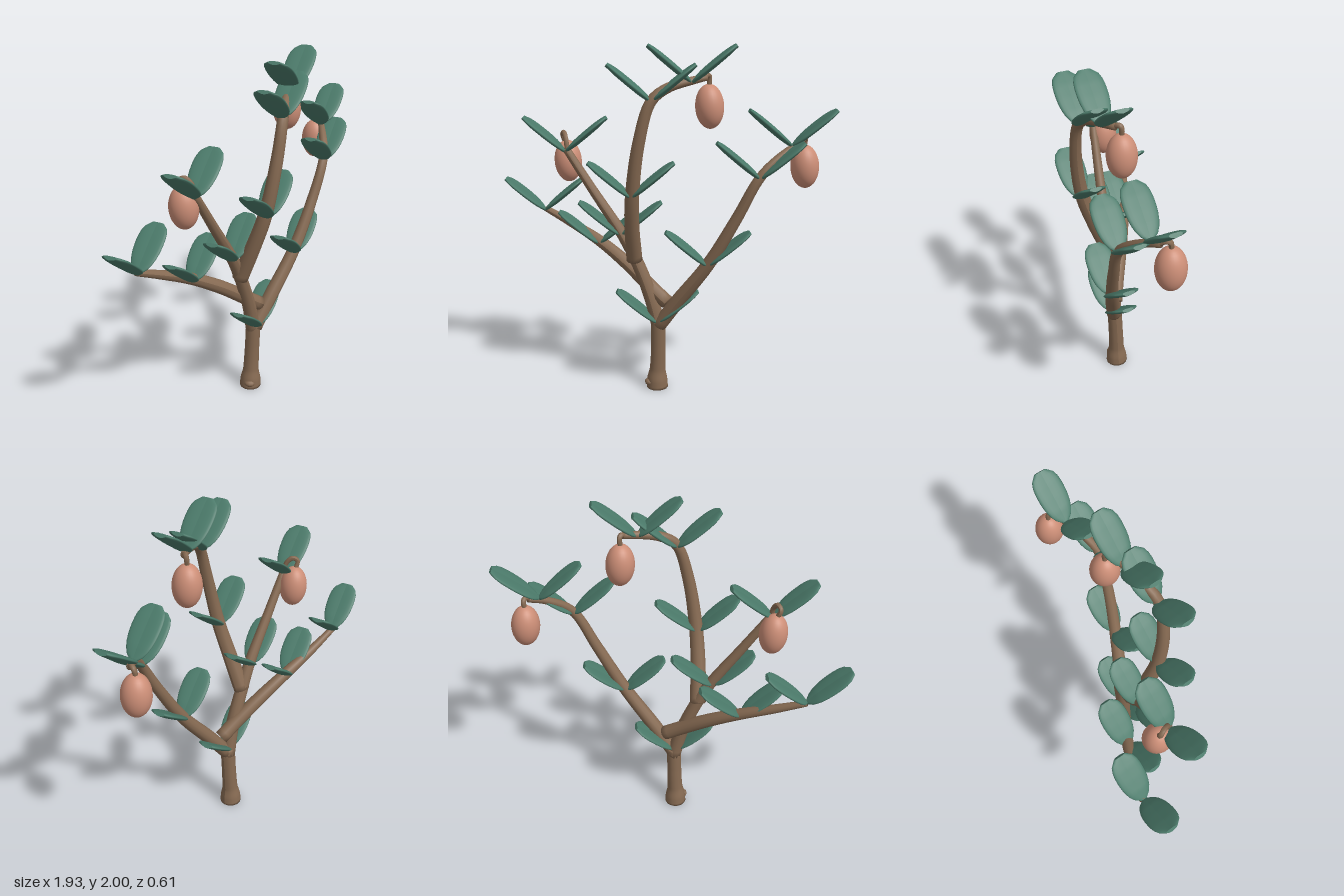
import * as THREE from 'three';

const bark = new THREE.MeshStandardMaterial({ color: 0x866a52 });
bark.name = 'bark';
const leafGreen = new THREE.MeshStandardMaterial({ color: 0x4b7a6a });
leafGreen.name = 'leafGreen';
const fruitPink = new THREE.MeshStandardMaterial({ color: 0xcc8e77 });
fruitPink.name = 'fruitPink';

const lerpList = (list, t) => {
  const f = Math.min(Math.max(t, 0), 1) * (list.length - 1);
  const i = Math.min(Math.floor(f), list.length - 2);
  return THREE.MathUtils.lerp(list[i], list[i + 1], f - i);
};

// Closed tube along a smooth path, with its radius blended through a list
function limb(name, points, radii, segments = 28, sides = 12) {
  const curve = new THREE.CatmullRomCurve3(points.map((p) => new THREE.Vector3(...p)));
  const geo = new THREE.TubeGeometry(curve, segments, 1, sides);
  const pos = geo.attributes.position;
  const v = new THREE.Vector3();
  for (let i = 0; i < pos.count; i++) {
    const ring = Math.floor(i / (sides + 1));
    const body = THREE.MathUtils.clamp(ring, 1, segments - 1);
    const t = (body - 1) / (segments - 2);
    const r = ring === body ? lerpList(radii, t) : 0; // end rings close the caps
    v.fromBufferAttribute(pos, i).sub(curve.getPointAt(ring / segments));
    v.multiplyScalar(r).add(curve.getPointAt(t));
    pos.setXYZ(i, v.x, v.y, v.z);
  }
  geo.computeVertexNormals();
  const mesh = new THREE.Mesh(geo, bark);
  mesh.name = name;
  return mesh;
}

// Thick, blunt leaf with a slight fold along its midrib, growing along +x
function leafGeometry() {
  const length = 0.3;
  const widths = [0.012, 0.045, 0.062, 0.072, 0.078, 0.081, 0.082, 0.081, 0.077, 0.066, 0.034];
  const depths = [0.009, 0.016, 0.017, 0.016, 0.011];
  const geo = new THREE.CylinderGeometry(1, 1, 1, 20, 20);
  const pos = geo.attributes.position;
  for (let i = 0; i < pos.count; i++) {
    const s = pos.getX(i), c = pos.getZ(i);
    const t = pos.getY(i) + 0.5;
    const half = lerpList(widths, t);
    const fold = 0.008 * Math.abs(s) * (half / 0.082);
    pos.setXYZ(i, t * length, fold + c * lerpList(depths, t), s * half);
  }
  geo.rotateZ(THREE.MathUtils.degToRad(39.5));
  geo.computeVertexNormals();
  return geo;
}

export function createModel() {
  const tree = new THREE.Group();
  tree.name = 'fruitTree';

  // Trunk with flared foot
  tree.add(limb('trunk',
    [[-0.006, 0, -0.012], [-0.006, 0.06, -0.01], [0, 0.2, -0.006], [0.003, 0.43, 0.004]],
    [0.064, 0.06, 0.047, 0.045, 0.044, 0.043, 0.043, 0.043, 0.042], 32, 14));
  const knob = new THREE.Mesh(new THREE.SphereGeometry(0.028, 10, 8), bark);
  knob.name = 'rootKnob';
  knob.scale.set(1.1, 0.8, 1.2);
  knob.position.set(-0.046, 0.036, 0.01);
  tree.add(knob);

  // Main branches
  tree.add(limb('rightBranch',
    [[0.005, 0.38, 0], [-0.04, 0.56, 0.005], [-0.12, 0.77, 0.005], [-0.21, 0.94, 0.01], [-0.37, 1.18, 0.012], [-0.52, 1.41, 0.012]],
    [0.042, 0.04, 0.036, 0.03, 0.026, 0.022]));
  tree.add(limb('rearBranch',
    [[0.055, 0.54, 0.01], [-0.04, 0.61, -0.02], [-0.2, 0.73, -0.08], [-0.38, 0.84, -0.14], [-0.56, 0.925, -0.185], [-0.73, 1.0, -0.215]],
    [0.042, 0.041, 0.038, 0.033, 0.026, 0.018]));
  tree.add(limb('centreBranch',
    [[-0.135, 0.79, 0.01], [-0.128, 1.0, 0.095], [-0.11, 1.2, 0.16], [-0.062, 1.5, 0.198], [0.002, 1.71, 0.19], [0.08, 1.775, 0.155], [0.2, 1.81, 0.1], [0.27, 1.825, 0.058]],
    [0.047, 0.043, 0.039, 0.035, 0.031, 0.027, 0.018], 40));
  tree.add(limb('leftBranch',
    [[0.01, 0.4, 0.01], [0.12, 0.56, 0.04], [0.3, 0.81, 0.085], [0.45, 1.08, 0.11], [0.575, 1.32, 0.108], [0.7, 1.44, 0.02], [0.775, 1.48, -0.038]],
    [0.042, 0.041, 0.037, 0.033, 0.029, 0.025, 0.018], 36));

  // Opposite pairs of leaves at each node
  const nodes = [
    [0, 0.415, 0.02], [-0.73, 0.995, -0.205], [-0.38, 0.825, -0.132], [-0.215, 0.925, 0.01],
    [-0.115, 1.185, 0.17], [-0.525, 1.395, 0.015], [0, 1.705, 0.18], [0.2, 1.8, 0.105],
    [0.295, 0.8, 0.09], [0.57, 1.305, 0.11], [0.725, 1.465, -0.005],
  ];
  const leaf = leafGeometry();
  const yaw = THREE.MathUtils.degToRad(11);
  nodes.forEach((p) => {
    const pair = new THREE.Group();
    pair.name = 'leafPair';
    pair.position.set(...p);
    [['leftLeaf', yaw], ['rightLeaf', yaw + Math.PI]].forEach(([name, angle]) => {
      const mesh = new THREE.Mesh(leaf, leafGreen);
      mesh.name = name;
      mesh.rotation.y = angle;
      pair.add(mesh);
    });
    tree.add(pair);
  });

  // Hanging fruit
  const fruitGeo = new THREE.SphereGeometry(1, 28, 20);
  fruitGeo.scale(0.077, 0.119, 0.079);
  [[0.285, 1.67, 0.03], [0.793, 1.345, -0.085], [-0.53, 1.332, -0.05]].forEach((p) => {
    const fruit = new THREE.Mesh(fruitGeo, fruitPink);
    fruit.name = 'fruit';
    fruit.position.set(...p);
    fruit.rotation.z = 0.07;
    tree.add(fruit);
  });

  // Hooked fruit stalks
  const stalk = [0.014, 0.014, 0.013];
  tree.add(limb('upperStalk',
    [[0.25, 1.815, 0.07], [0.275, 1.835, 0.045], [0.282, 1.825, 0.032], [0.28, 1.77, 0.03]], stalk, 18, 8));
  tree.add(limb('leftStalk',
    [[0.765, 1.475, -0.03], [0.785, 1.5, -0.06], [0.79, 1.49, -0.08], [0.787, 1.445, -0.085]], stalk, 18, 8));
  tree.add(limb('rightStalk',
    [[-0.515, 1.4, 0.012], [-0.525, 1.465, 0.0], [-0.545, 1.497, -0.03], [-0.56, 1.48, -0.052], [-0.54, 1.43, -0.05]], stalk, 22, 8));

  return tree;
}
